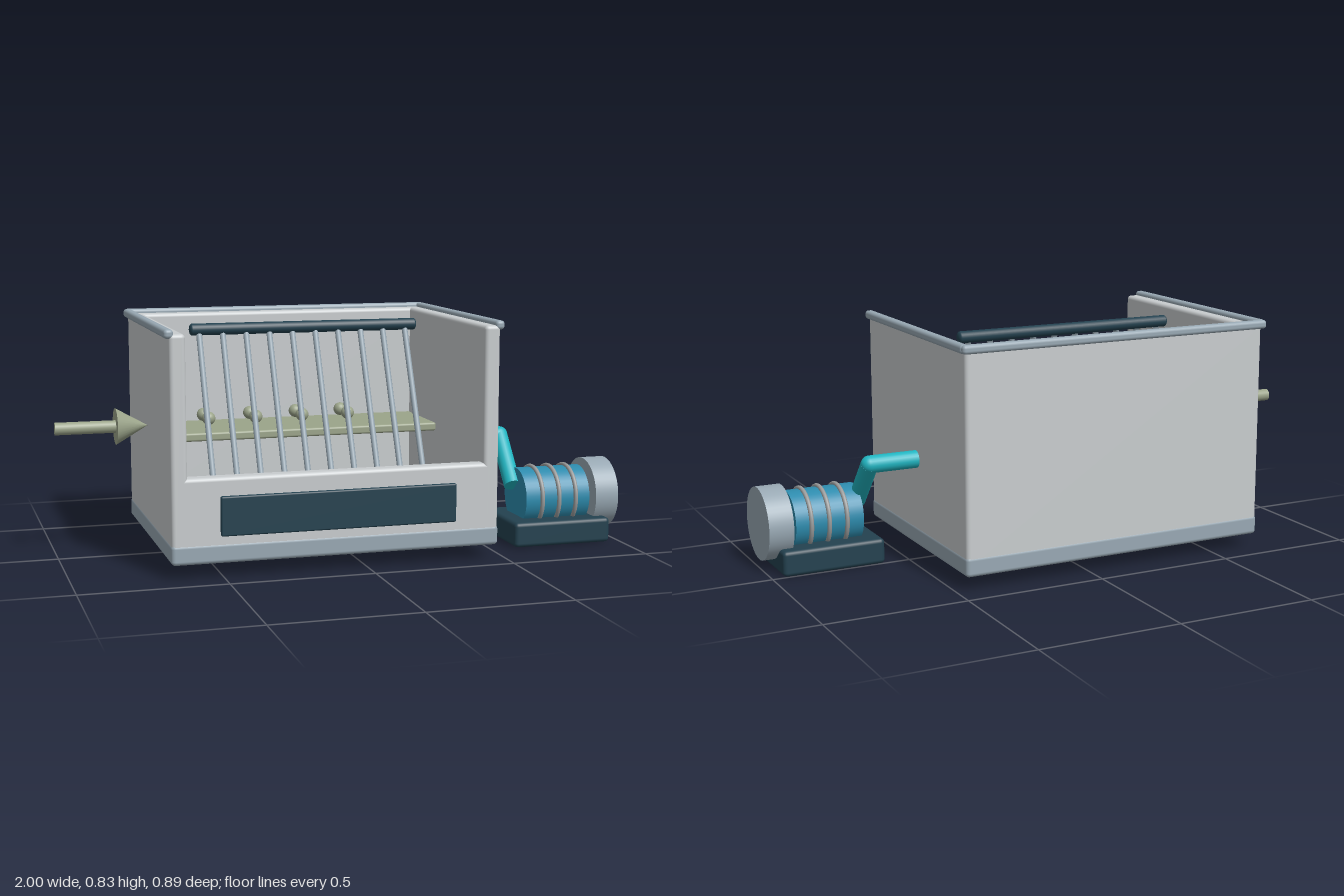
import * as THREE from 'three';
import { RoundedBoxGeometry } from 'three/addons/geometries/RoundedBoxGeometry.js';

const mat = (name, color) => {
  const m = new THREE.MeshStandardMaterial({ color });
  m.name = name;
  return m;
};

export function createModel() {
  const model = new THREE.Group();
  model.name = 'intakeTank';
  const wallGrey = mat('wallGrey', 0xc8ccce);
  const steel = mat('steel', 0x98a8b3);
  const darkSlate = mat('darkSlate', 0x23414f);
  const sage = mat('sage', 0x9ba48a);
  const teal = mat('teal', 0x20b4c0);
  const motorBlue = mat('motorBlue', 0x2d8bad);
  const ringGrey = mat('ringGrey', 0x9a9c9c);

  const add = (name, geometry, material, parent = model) => {
    const mesh = new THREE.Mesh(geometry, material);
    mesh.name = name;
    parent.add(mesh);
    return mesh;
  };
  // Rounded box given by its extents on each axis
  const box = (name, [x0, x1], [y0, y1], [z0, z1], r, material, parent) => {
    const mesh = add(name, new RoundedBoxGeometry(x1 - x0, y1 - y0, z1 - z0, 3, r), material, parent);
    mesh.position.set((x0 + x1) / 2, (y0 + y1) / 2, (z0 + z1) / 2);
    return mesh;
  };
  // Cylinder or cone running from point a to point b
  const rod = (name, a, b, r0, r1, material, parent, sides = 24) => {
    const p = new THREE.Vector3(...a), q = new THREE.Vector3(...b);
    const mesh = add(name, new THREE.CylinderGeometry(r1, r0, p.distanceTo(q), sides), material, parent);
    mesh.position.copy(p).add(q).multiplyScalar(0.5);
    mesh.quaternion.setFromUnitVectors(new THREE.Vector3(0, 1, 0), q.sub(p).normalize());
    return mesh;
  };
  const ball = (name, [x, y, z], r, material, parent) => {
    const mesh = add(name, new THREE.SphereGeometry(r, 24, 16), material, parent);
    mesh.position.set(x, y, z);
  };
  const group = (name) => {
    const g = new THREE.Group();
    g.name = name;
    model.add(g);
    return g;
  };

  // Open tank with a low front wall
  const tank = group('tank');
  box('floorSlab', [-0.677, 0.472], [0.05, 0.12], [-0.43, 0.422], 0.014, steel, tank);
  box('rightWall', [-0.675, -0.62], [0.075, 0.815], [-0.428, 0.42], 0.014, wallGrey, tank);
  box('leftWall', [0.415, 0.47], [0.075, 0.815], [-0.428, 0.42], 0.014, wallGrey, tank);
  box('backWall', [-0.675, 0.47], [0.075, 0.815], [-0.428, -0.375], 0.014, wallGrey, tank);
  box('frontWall', [-0.66, 0.455], [0.075, 0.34], [0.362, 0.42], 0.014, wallGrey, tank);

  // Rims along the three tall walls
  for (const [name, x] of [['rightRim', -0.675], ['leftRim', 0.47]]) {
    box(name, [x - 0.016, x + 0.016], [0.8, 0.831], [-0.43, 0.42], 0.012, steel, tank);
  }
  box('backRim', [-0.688, 0.483], [0.8, 0.831], [-0.443, -0.412], 0.012, steel, tank);

  // Plate on the front
  box('frontPlate', [-0.515, 0.307], [0.146, 0.28], [0.427, 0.446], 0.006, darkSlate);

  // Shelf with two rows of balls
  const shelf = group('shelf');
  box('shelfBoard', [-0.612, 0.408], [0.383, 0.414], [-0.352, -0.046], 0.008, sage, shelf);
  for (let i = 0; i < 4; i++) {
    for (const z of [-0.25, -0.15]) ball('shelfBall', [-0.43 + i * 0.175, 0.45, z], 0.024, sage, shelf);
  }

  // Slanted bar screen
  const screen = group('barScreen');
  rod('screenTopBar', [-0.51, 0.785, -0.036], [0.31, 0.785, -0.036], 0.021, 0.021, darkSlate, screen);
  for (const x of [-0.51, 0.31]) {
    const cap = add('barEnd', new THREE.SphereGeometry(0.021, 20, 12), darkSlate, screen);
    cap.scale.x = 0.5;
    cap.position.set(x, 0.785, -0.036);
  }
  for (let i = 0; i < 10; i++) {
    const x = -0.486 + i * 0.0846;
    rod('screenBar', [x, 0.1, 0.268], [x, 0.785, -0.036], 0.0105, 0.0105, steel, screen, 16);
  }

  // Inflow arrow
  const arrow = group('inflowArrow');
  rod('arrowShaft', [-1, 0.457, -0.01], [-0.785, 0.457, -0.01], 0.022, 0.022, sage, arrow);
  rod('arrowHead', [-0.79, 0.457, -0.01], [-0.677, 0.457, -0.01], 0.064, 0, sage, arrow, 32);

  // Bent outlet pipe
  const pipe = group('outletPipe');
  const elbow = [0.643, 0.364, -0.006], pipeEnd = [0.637, 0.2, 0.146];
  rod('pipeRun', [0.46, 0.364, -0.006], elbow, 0.031, 0.031, teal, pipe);
  ball('pipeElbow', elbow, 0.031, teal, pipe);
  rod('pipeDrop', elbow, pipeEnd, 0.031, 0.031, teal, pipe);

  // Pump: foot, ribbed body and end disc
  const pump = group('pump');
  const axis = (x) => [x, 0.16, 0.146];
  box('pumpFoot', [0.59, 0.96], [0, 0.09], [-0.003, 0.295], 0.015, darkSlate, pump);
  rod('pumpBody', axis(0.65), axis(0.897), 0.104, 0.104, motorBlue, pump, 40);
  rod('pumpShaft', axis(0.89), axis(0.92), 0.05, 0.05, motorBlue, pump);
  rod('pumpDisc', axis(0.912), axis(1), 0.129, 0.129, steel, pump, 48);
  for (const x of [0.712, 0.777, 0.842]) {
    const ring = add('pumpRing', new THREE.TorusGeometry(0.107, 0.008, 10, 40), ringGrey, pump);
    ring.rotation.y = Math.PI / 2;
    ring.position.set(...axis(x));
  }
  return model;
}
